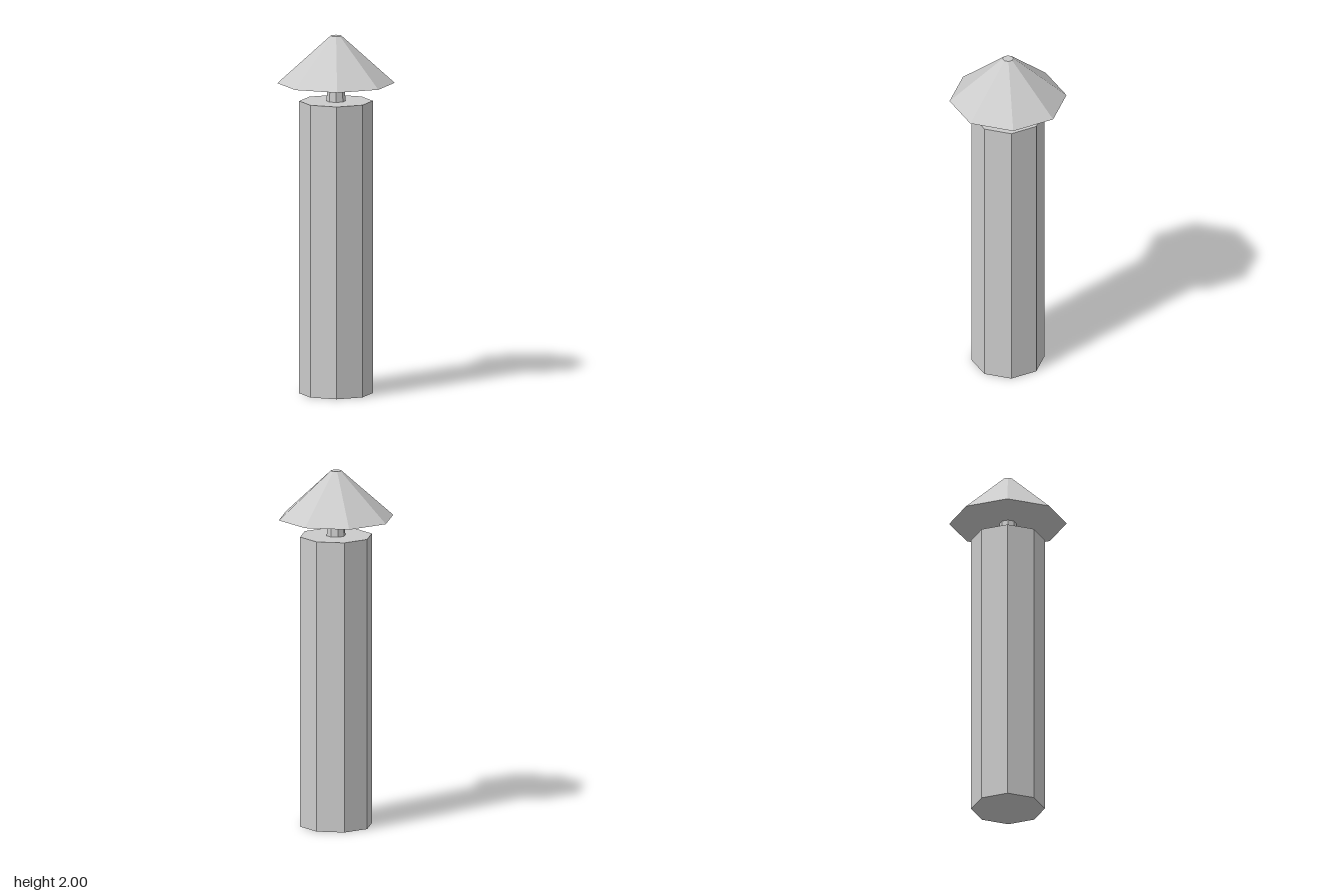
import * as THREE from 'three';

const SIDES = 8;

export function createModel() {
  const group = new THREE.Group();
  const material = new THREE.MeshStandardMaterial({ color: 0xcccccc, flatShading: true });

  // Eight-sided frustum standing between two heights, corners on the axes
  function addFrustum(name, topRadius, bottomRadius, y0, y1) {
    const geometry = new THREE.CylinderGeometry(topRadius, bottomRadius, y1 - y0, SIDES);
    const mesh = new THREE.Mesh(geometry, material);
    mesh.name = name;
    mesh.position.y = (y0 + y1) / 2;
    group.add(mesh);
  }

  addFrustum('shaft', 0.203, 0.203, 0, 1.635);
  addFrustum('neck', 0.046, 0.053, 1.635, 1.735);
  addFrustum('cap', 0.03, 0.324, 1.735, 2);

  return group;
}
